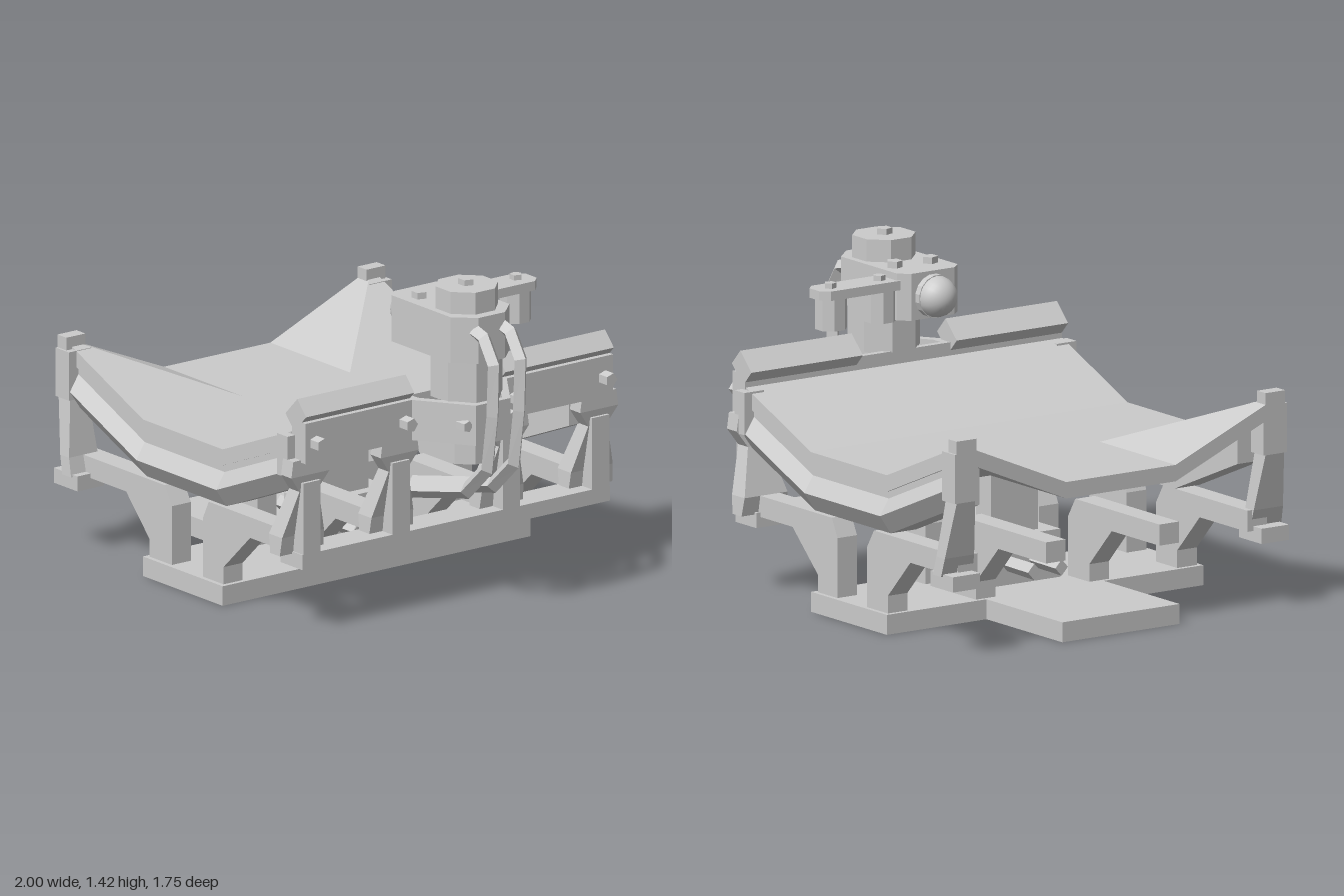
import * as THREE from 'three';

const flat = new THREE.MeshStandardMaterial({ color: 0xcccccc, flatShading: true });
const smooth = new THREE.MeshStandardMaterial({ color: 0xcccccc });

export function createModel() {
  const model = new THREE.Group();

  const add = (name, geo, mat = flat) => {
    const m = new THREE.Mesh(geo, mat);
    m.name = name;
    model.add(m);
    return m;
  };
  // box given by its limits
  const box = (name, x0, x1, y0, y1, z0, z1) =>
    add(name, new THREE.BoxGeometry(x1 - x0, y1 - y0, z1 - z0))
      .position.set((x0 + x1) / 2, (y0 + y1) / 2, (z0 + z1) / 2);
  // upright prism given by centre, radius and height limits
  const prism = (name, x, z, r, y0, y1, sides = 8) => {
    const m = add(name, new THREE.CylinderGeometry(r, r, y1 - y0, sides).rotateY(Math.PI / sides));
    m.position.set(x, (y0 + y1) / 2, z);
    return m;
  };
  const shapeOf = pts => new THREE.Shape(pts.map(p => new THREE.Vector2(...p)));
  // outline in x,y extruded over a width in z
  const plate = (name, pts, z, w) =>
    add(name, new THREE.ExtrudeGeometry(shapeOf(pts), { depth: w, bevelEnabled: false }))
      .position.z = z - w / 2;
  // outline in x,z extruded upward
  const slab = (name, pts, y0, y1, hole) => {
    const s = shapeOf(pts);
    if (hole) s.holes.push(shapeOf(hole));
    add(name, new THREE.ExtrudeGeometry(s, { depth: y1 - y0, bevelEnabled: false }).rotateX(-Math.PI / 2))
      .position.y = y0;
  };
  // closed solid through a row of equal-sized rings
  const loft = (name, rings) => {
    const tris = [], n = rings[0].length, last = rings.length - 1;
    for (let i = 0; i < last; i++)
      for (let j = 0; j < n; j++) {
        const k = (j + 1) % n, a = rings[i][j], b = rings[i][k], c = rings[i + 1][k], d = rings[i + 1][j];
        tris.push([a, b, c], [a, c, d]);
      }
    for (let j = 1; j < n - 1; j++) {
      tris.push([rings[0][0], rings[0][j + 1], rings[0][j]]);
      tris.push([rings[last][0], rings[last][j], rings[last][j + 1]]);
    }
    // turn the faces outward
    const v = t => new THREE.Vector3(...t);
    const volume = tris.reduce((s, [a, b, c]) => s + v(a).dot(v(b).cross(v(c))), 0);
    if (volume < 0) tris.forEach(t => t.reverse());
    const geo = new THREE.BufferGeometry();
    geo.setAttribute('position', new THREE.Float32BufferAttribute(tris.flat(2), 3));
    geo.computeVertexNormals();
    return add(name, geo);
  };

  // base and pedestal
  box('basePlate', -0.46, 0.08, 0, 0.085, -0.81, 0.81);
  box('baseTongue', -1, -0.46, 0, 0.085, -0.3, 0.3);
  box('pedestal', -0.29, -0.08, 0.085, 0.29, -0.2, 0.2);
  box('pedestalNeck', -0.24, -0.13, 0.29, 0.62, -0.12, 0.12);

  // cantilever brackets
  const armLeft = [[-0.94, 0.42], [-0.94, 0.33], [-0.6, 0.33], [-0.44, 0.16], [-0.44, 0.085],
    [-0.29, 0.085], [-0.29, 0.34], [-0.34, 0.42]];
  const armRight = [[0.5, 0.42], [-0.04, 0.42], [-0.08, 0.34], [-0.08, 0.085],
    [0.06, 0.085], [0.06, 0.16], [0.24, 0.33], [0.5, 0.33]];
  for (const z of [-0.74, -0.29, 0.29, 0.74]) {
    plate('leftBracket', armLeft, z, 0.1);
    plate('rightBracket', armRight, z, 0.1);
  }
  box('sideRail', 0.47, 0.62, 0.285, 0.35, -0.81, 0.81);

  // tray: one half bent over stations, then mirrored
  const xs = [-1, -0.46, 0.08, 0.545], zs = [0, 0.28, 0.81];
  const tray = new THREE.BoxGeometry(3, 1, 2, 3, 1, 2);
  const p = tray.attributes.position;
  for (let i = 0; i < p.count; i++) {
    const ix = Math.round(p.getX(i) + 1.5), iz = Math.round(p.getZ(i) + 1);
    const top = ix === 3 ? 0.87 : ix === 0 && iz === 2 ? 0.905 : 0.68;
    p.setXYZ(i, xs[ix], top - (p.getY(i) < 0 ? 0.07 : 0), zs[iz]);
  }
  // the underside folds along the same diagonals as the top
  const { start, count } = tray.groups[3], idx = tray.index.array;
  for (let k = start; k < start + count; k += 6) {
    const a = idx[k], b = idx[k + 1], d = idx[k + 2], c = idx[k + 4];
    idx.set([a, b, c, a, c, d], k);
  }
  tray.computeVertexNormals();
  add('trayFront', tray);
  add('trayBack', tray).scale.z = -1;

  // ridged beams under the tray sides
  const section = [[0.8, -0.07], [0.8, -0.1], [0.845, -0.17], [0.79, -0.25], [0.66, -0.25], [0.66, -0.07]];
  const run = [[-0.91, 0.867], [-0.46, 0.68], [0.08, 0.68], [0.535, 0.867]];
  for (const s of [-1, 1])
    loft('trayBeam', run.map(([x, y]) => section.map(([z, dy]) => [x, y + dy, s * z])));

  // legs: rows of y, x limits, half width in z
  const leg = (name, rows, z) => loft(name, rows.map(([y, x0, x1, h]) =>
    [[x0, y, z - h], [x1, y, z - h], [x1, y, z + h], [x0, y, z + h]]));
  for (const z of [-0.76, -0.29, 0.29, 0.76]) {
    leg('rightLeg', [[0.34, 0.485, 0.55, 0.115], [0.42, 0.47, 0.56, 0.11], [0.62, 0.53, 0.6, 0.05],
      [0.69, 0.54, 0.61, 0.1], [0.76, 0.54, 0.61, 0.09]], z);
    box('legRib', 0.55, 0.62, 0.35, 0.66, z - 0.045, z + 0.045);
    const bolt = prism('plateBolt', 0.66, z, 0.03, 0.8, 0.87, 5);
    bolt.rotation.z = Math.PI / 2;
  }
  for (const s of [-1, 1]) {
    const z = s * 0.79;
    leg('leftLeg', [[0.34, -0.93, -0.87, 0.08], [0.42, -0.95, -0.89, 0.075], [0.68, -1, -0.92, 0.045]], z);
    box('leftFoot', -1, -0.84, 0.285, 0.35, z - 0.07, z + 0.07);
    box('cornerBlock', -1, -0.91, 0.66, 0.87, z - 0.06, z + 0.06);
    box('cornerPost', -1, -0.94, 0.77, 0.925, z - 0.05, z + 0.05);
    box('rightCornerBlock', 0.5, 0.57, 0.68, 0.86, s * 0.8 - 0.05, s * 0.8 + 0.05);
    // side plate and diamond beam
    const [z0, z1] = s > 0 ? [0.24, 0.81] : [-0.81, -0.24];
    box('sidePlate', 0.55, 0.64, 0.75, 0.925, z0, z1);
    plate('diamondBeam', [[0.505, 0.94], [0.565, 0.875], [0.645, 0.955], [0.585, 1.02]], (z0 + z1) / 2, 0.57);
    // clamp bolt
    const cb = prism('clampBolt', 0.82, s * 0.12, 0.025, 0.8, 0.87, 5);
    cb.rotation.z = Math.PI / 2;
  }

  // clamp around the column
  slab('clamp', [[0.55, -0.25], [0.64, -0.25], [0.87, -0.09], [0.87, 0.09], [0.64, 0.25], [0.55, 0.25]], 0.75, 0.925,
    [[0.58, -0.21], [0.63, -0.21], [0.84, -0.07], [0.84, 0.07], [0.63, 0.21], [0.58, 0.21]]);

  // column and head
  prism('columnFoot', 0.7, 0, 0.115, 0.645, 0.93);
  prism('column', 0.69, 0, 0.155, 0.92, 1.1);
  slab('head', [[0.34, -0.11], [0.38, -0.155], [0.78, -0.155], [0.86, -0.07], [0.86, 0.07],
    [0.78, 0.155], [0.38, 0.155], [0.34, 0.11]], 1.1, 1.3);
  prism('headCap', 0.69, 0, 0.135, 1.3, 1.395);
  prism('capBolt', 0.69, 0, 0.035, 1.395, 1.42, 5);
  prism('headBolt', 0.49, -0.09, 0.035, 1.3, 1.328, 5);
  prism('headBolt', 0.475, 0.08, 0.035, 1.3, 1.328, 5);
  const dome = add('dome', new THREE.SphereGeometry(0.088, 20, 10, 0, Math.PI * 2, 0, Math.PI / 2), smooth);
  dome.rotation.z = Math.PI / 2;
  dome.position.set(0.315, 1.195, 0);
  const collar = prism('domeCollar', 0.325, 0, 0.092, 1.18, 1.21, 16);
  collar.rotation.z = Math.PI / 2;

  // side arm with two pods
  slab('sideArm', [[0.37, 0.14], [0.51, 0.14], [0.51, 0.5], [0.475, 0.535], [0.405, 0.535], [0.37, 0.5]], 1.23, 1.27);
  for (const z of [-0.2, -0.45]) {
    prism('pod', 0.44, z, 0.068, 1.095, 1.23);
    prism('podBolt', 0.435, z - 0.008, 0.027, 1.27, 1.292, 5);
  }

  // hoses with a diamond section
  const path = [[0.84, 1.235], [0.9, 1.22], [0.965, 1.12], [0.955, 0.9], [0.92, 0.66], [0.78, 0.53],
    [0.25, 0.41], [0.05, 0.18], [-0.48, 0.175]].map(q => new THREE.Vector2(...q));
  for (const z of [-0.07, 0.07])
    loft('hose', path.map((q, i) => {
      const before = path[Math.max(i - 1, 0)], after = path[Math.min(i + 1, path.length - 1)];
      const dir = q.clone().sub(before).normalize().add(after.clone().sub(q).normalize()).normalize();
      const nx = -dir.y * 0.035, ny = dir.x * 0.035;
      return [[q.x + nx, q.y + ny, z], [q.x, q.y, z + 0.032], [q.x - nx, q.y - ny, z], [q.x, q.y, z - 0.032]];
    }));

  return model;
}
